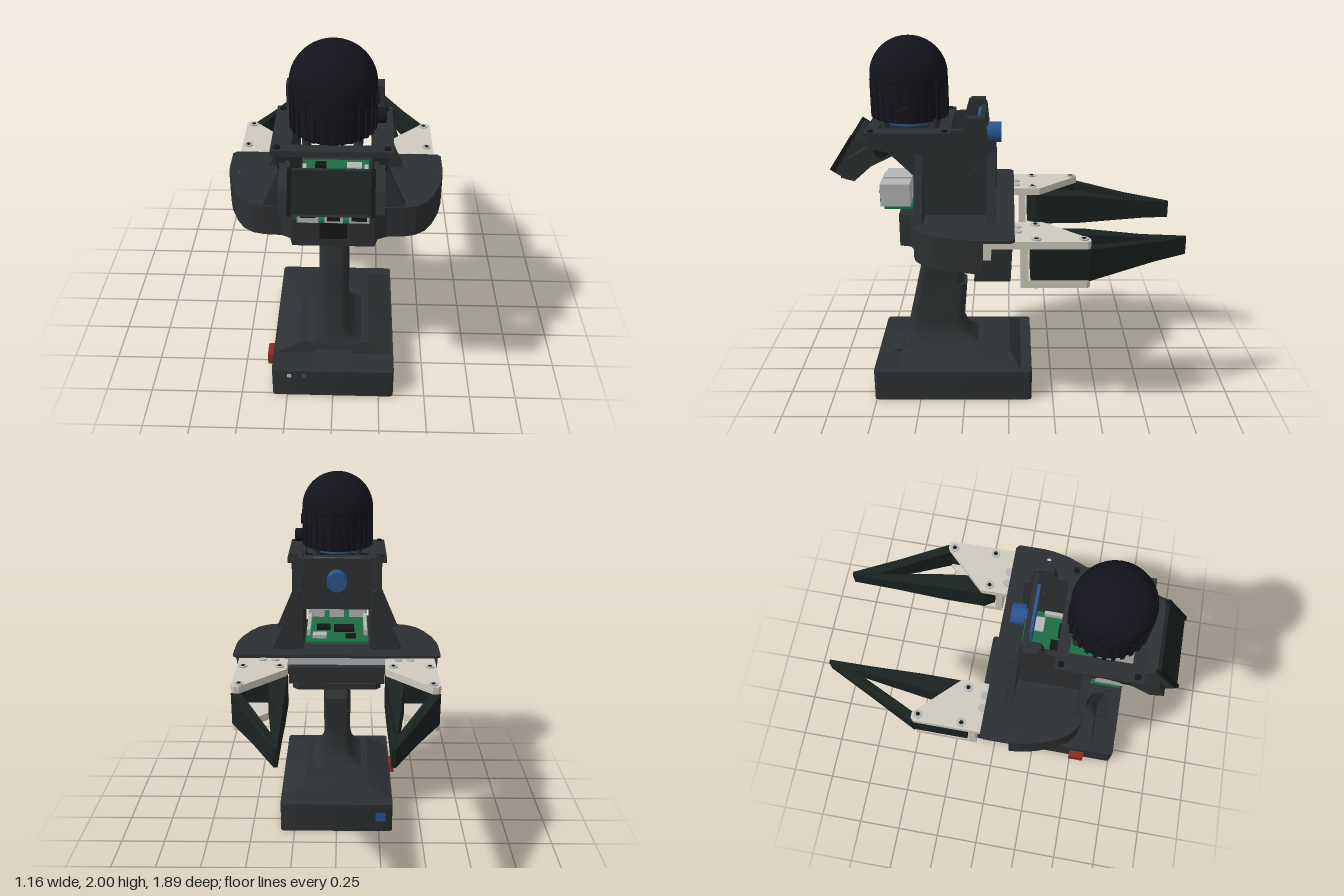
import * as THREE from 'three';
import { toCreasedNormals } from 'three/addons/utils/BufferGeometryUtils.js';

const mat = (color) => new THREE.MeshStandardMaterial({ color });

export function createModel() {
  const root = new THREE.Group();
  const body = mat(0x2d3032), domeMat = mat(0x14141c), rubber = mat(0x1a2220), ivory = mat(0xd0cbc0);
  const blue = mat(0x2a5590), green = mat(0x1f6b45), metal = mat(0xb4b6b8), red = mat(0x8a2a22), black = mat(0x151717);

  const add = (name, geo, m) => {
    const mesh = new THREE.Mesh(geo, m);
    mesh.name = name;
    root.add(mesh);
    return mesh;
  };
  // box given by its limits
  const box = (name, m, x0, x1, y0, y1, z0, z1) => {
    const mesh = add(name, new THREE.BoxGeometry(Math.abs(x1 - x0), y1 - y0, z1 - z0), m);
    mesh.position.set((x0 + x1) / 2, (y0 + y1) / 2, (z0 + z1) / 2);
    return mesh;
  };
  const makeShape = (pts, holes = []) => {
    const s = new THREE.Shape(pts.map(([a, b]) => new THREE.Vector2(a, b)));
    for (const [a, b, r] of holes) s.holes.push(new THREE.Path().absarc(a, b, r, 0, Math.PI * 2, true));
    return s;
  };
  const extrude = (shape, depth) => new THREE.ExtrudeGeometry(shape, { depth, bevelEnabled: false, curveSegments: 8 });
  // outline in [x, z], raised from y0 to y1
  const plan = (pts, y0, y1, holes = []) =>
    extrude(makeShape(pts.map(([x, z]) => [x, -z]), holes.map(([x, z, r]) => [x, -z, r])), y1 - y0)
      .rotateX(-Math.PI / 2).translate(0, y0, 0);
  // outline in [z, y], widened from x0 to x1
  const side = (pts, x0, x1, holes = []) =>
    extrude(makeShape(pts.map(([z, y]) => [-z, y]), holes.map(([z, y, r]) => [-z, y, r])), Math.abs(x1 - x0))
      .rotateY(Math.PI / 2).translate(Math.min(x0, x1), 0, 0);
  // rounded rectangles [y, zFront, zBack, halfWidth, radius] joined into a solid
  const loft = (rows, crease = 0.6) => {
    const seg = 6, n = 4 * (seg + 1), pos = [], idx = [];
    for (const [y, zf, zb, hx, r] of rows) {
      const hz = (zf - zb) / 2, zc = (zf + zb) / 2;
      for (let q = 0; q < 4; q++) for (let i = 0; i <= seg; i++) {
        const a = (q + i / seg) * Math.PI / 2;
        const sx = q === 0 || q === 3 ? 1 : -1, sz = q < 2 ? 1 : -1;
        pos.push(sx * (hx - r) + r * Math.cos(a), y, zc + sz * (hz - r) + r * Math.sin(a));
      }
    }
    for (let k = 0; k < rows.length - 1; k++) for (let i = 0; i < n; i++) {
      const a = k * n + i, b = k * n + (i + 1) % n;
      idx.push(a, a + n, b, b, a + n, b + n);
    }
    const top = (rows.length - 1) * n;
    for (let i = 1; i < n - 1; i++) idx.push(0, i, i + 1, top, top + i + 1, top + i);
    const g = new THREE.BufferGeometry();
    g.setAttribute('position', new THREE.Float32BufferAttribute(pos, 3));
    g.setIndex(idx);
    return toCreasedNormals(g, crease);
  };
  const cyl = (name, m, r, h, x, y, z, axis = 'y', sides = 20) => {
    const mesh = add(name, new THREE.CylinderGeometry(r, r, h, sides), m);
    mesh.position.set(x, y, z);
    if (axis === 'x') mesh.rotation.z = Math.PI / 2;
    if (axis === 'z') mesh.rotation.x = Math.PI / 2;
    return mesh;
  };

  // Base and handle
  add('base', loft([[0, 0.76, -0.13, 0.33, 0.02], [0.18, 0.76, -0.13, 0.33, 0.02]]), body);
  add('baseCover', loft([[0.18, 0.62, -0.07, 0.32, 0.01], [0.25, 0.61, 0, 0.19, 0.01]], 0.4), body);
  add('baseLatch', side([[0.69, 0.18], [0.62, 0.2], [0.6, 0.2], [0.6, 0.18]], -0.1, 0.1), body);
  add('handle', loft([
    [0.24, 0.615, 0.17, 0.17, 0.06], [0.265, 0.605, 0.2, 0.12, 0.055], [0.3, 0.595, 0.235, 0.092, 0.05],
    [0.36, 0.58, 0.26, 0.08, 0.045], [0.6, 0.525, 0.24, 0.08, 0.045], [0.604, 0.525, 0.26, 0.08, 0.045],
    [0.8, 0.48, 0.25, 0.08, 0.045], [0.845, 0.47, 0.24, 0.1, 0.05], [0.87, 0.465, 0.23, 0.13, 0.05], [0.89, 0.46, 0.21, 0.17, 0.05],
  ]), body);
  add('trigger', side([[0.2, 0.87], [0.03, 0.87], [-0.02, 0.81], [-0.01, 0.61], [0.2, 0.61], [0.19, 0.72]], -0.06, 0.06), body);
  box('powerSwitch', red, -0.37, -0.32, 0.05, 0.12, 0.49, 0.58);
  box('chargePort', blue, -0.29, -0.23, 0.07, 0.12, -0.135, -0.12);
  for (const x of [-0.235, -0.155]) cyl('baseLight', x < -0.2 ? metal : blue, 0.012, 0.01, x, 0.145, 0.76, 'z');

  // Deck with rounded wings
  const wing = [[0.58, 0.13], [0.575, 0.19], [0.555, 0.28], [0.515, 0.38], [0.475, 0.445], [0.42, 0.485], [0.36, 0.5],
    [0.27, 0.505], [0.225, 0.53], [0.21, 0.59]];
  const mirrored = (pts) => [...pts, ...pts.map(([x, z]) => [-x, z]).reverse()];
  const holes = [[0.52, 0.17, 0.013], [-0.52, 0.17, 0.013]];
  add('deck', plan(mirrored(wing), 0.9, 1.065, holes), body);
  add('deckTop', plan(mirrored([[0.56, -0.03], [0.58, -0.01], ...wing]), 1.065, 1.08, holes), body);
  box('deckCore', body, -0.27, 0.27, 0.9, 1.0, -0.01, 0.14);
  add('underPlate', plan(mirrored([[0.22, -0.02], [0.25, 0.01], [0.25, 0.42], [0.2, 0.47]]), 0.87, 0.905), body);
  box('slideRail', metal, -0.5, 0.5, 1.005, 1.045, 0.02, 0.06);
  box('frontSensor', black, -0.07, 0.07, 0.95, 1.065, 0.57, 0.597);
  box('frontTab', body, -0.2, -0.13, 1.065, 1.09, 0.5, 0.63);

  // Grippers, one per side
  for (const s of [1, -1]) {
    const mx = (pts) => pts.map(([x, z]) => [s * x, z]);
    const plate = mx([[0.27, -0.03], [0.27, -0.18], [0.5, -0.415], [0.53, -0.415], [0.545, -0.4], [0.545, -0.03]]);
    const lower = mx([[0.27, -0.06], [0.27, -0.18], [0.5, -0.415], [0.53, -0.415], [0.545, -0.4], [0.545, -0.06]]);
    add('gripperTopPlate', plan(plate, 1.02, 1.06), ivory);
    add('gripperBottomPlate', plan(lower, 0.805, 0.845), ivory);
    box('gripperWall', ivory, s * 0.27, s * 0.545, 0.84, 1.03, -0.1, -0.06);
    add('gripperArm', side([[-0.04, 1.06], [0.13, 1.06], [0.13, 0.96], [0.09, 0.96], [0.09, 1.02], [-0.04, 1.02]], s * 0.29, s * 0.545), ivory);
    for (const [x, z] of [[0.505, -0.38], [0.31, -0.14], [0.51, -0.14]]) for (const y of [1.06, 0.805]) {
      cyl('gripperBolt', metal, 0.025, 0.012, s * x, y, z);
      cyl('boltSocket', black, 0.012, 0.016, s * x, y, z, 'y', 6);
    }
    for (const x of [0.34, 0.41]) cyl('armBolt', metal, 0.022, 0.012, s * x, 1.06, -0.045);

    // Forked finger, thinner in height towards the tip
    const finger = plan(mx([[0.265, -0.945], [0.265, -0.7], [0.265, -0.41], [0.265, -0.16], [0.365, -0.28], [0.348, -0.41],
      [0.313, -0.7], [0.3, -0.8], [0.349, -0.7], [0.49, -0.41], [0.545, -0.41], [0.404, -0.7], [0.285, -0.945]]), -0.088, 0.088);
    const p = finger.attributes.position;
    for (let i = 0; i < p.count; i++) {
      const z = -p.getZ(i), k = z < 0.42 ? 1 : z < 0.75 ? 0.66 : 0.55;
      p.setY(i, 0.932 + p.getY(i) * k);
    }
    finger.computeVertexNormals();
    add('finger', finger, rubber);
    add('fingerRoot', plan(mx([[0.27, -0.16], [0.3, -0.11], [0.54, -0.11], [0.54, -0.41], [0.5, -0.41], [0.5, -0.15],
      [0.33, -0.15], [0.365, -0.28]]), 0.846, 1.019), rubber);
  }

  // Tower walls and gussets
  for (const s of [1, -1]) {
    add('towerWall', side([[0.07, 1.08], [0.12, 1.6], [0.14, 1.62], [0.22, 1.62], [0.24, 1.55], [0.74, 1.53], [0.7, 1.46],
      [0.62, 1.42], [0.5, 1.3], [0.5, 1.08]], s * 0.19, s * 0.22, [[0.18, 1.35, 0.012], [0.18, 1.59, 0.012]]), body);
    for (const z of [0.07, 0.45]) {
      const g = extrude(makeShape([[s * 0.2, 1.08], [s * 0.365, 1.08], [s * 0.22, 1.42], [s * 0.2, 1.42]]), 0.045);
      add('gusset', g.translate(0, 0, z), body);
    }
    add('towerEar', side([[0.115, 1.4], [0.13, 1.62], [0.21, 1.62], [0.21, 1.4]], s * 0.21, s * 0.25), body);
    // Head frame rails, standoffs and display arms
    box('headRail', body, s * 0.19, s * 0.285, 1.53, 1.55, 0.3, 0.74);
    add('headBrace', side([[0.3, 1.53], [0.74, 1.53], [0.72, 1.46], [0.62, 1.44]], s * 0.215, s * 0.26), body);
    for (const z of [0.33, 0.71]) {
      cyl('frameBolt', black, 0.016, 0.012, s * 0.255, 1.552, z);
      cyl('standoff', body, 0.022, 0.06, s * 0.12, 1.56, z + (z < 0.5 ? 0.06 : -0.06));
    }
    add('displayArm', side([[0.6, 1.42], [0.62, 1.5], [0.7, 1.5], [0.74, 1.46], [0.84, 1.4], [0.88, 1.3], [0.81, 1.28],
      [0.72, 1.36]], s * 0.195, s * 0.245), body);
    cyl('armPivot', black, 0.04, 0.02, s * 0.245, 1.45, 0.66, 'x');
  }
  box('headFrameFront', body, -0.285, 0.285, 1.52, 1.55, 0.68, 0.74);
  box('headFrameBack', body, -0.285, 0.285, 1.52, 1.55, 0.3, 0.36);
  box('backPanel', body, -0.2, 0.2, 1.3, 1.59, 0.125, 0.15);
  box('controlBoard', blue, -0.13, 0.13, 1.38, 1.59, 0.15, 0.165);
  cyl('controlKnob', blue, 0.055, 0.07, 0, 1.48, 0.075, 'z', 24);
  cyl('knobStem', blue, 0.035, 0.05, 0, 1.48, 0.12, 'z');

  // Tilted display
  const display = new THREE.Group();
  display.name = 'display';
  display.position.set(0, 1.395, 0.842);
  display.rotation.x = -0.58;
  root.add(display);
  display.add(box('displayCase', body, -0.2, 0.2, -0.11, 0.11, -0.045, 0.03));
  display.add(box('displayScreen', rubber, -0.18, 0.18, -0.1, 0.1, 0.03, 0.045));
  for (const s of [1, -1]) display.add(box('displayEdge', black, s * 0.18, s * 0.2, -0.11, 0.11, 0.02, 0.05));

  // Circuit board with ports
  box('circuitBoard', green, -0.18, 0.18, 1.1, 1.115, 0.1, 0.67);
  for (const [x0, x1] of [[-0.17, -0.07], [-0.04, 0.05], [0.08, 0.18]]) {
    const low = x0 < -0.1 ? 0.02 : 0;
    box('port', metal, x0, x1, 1.115, 1.24 - low, 0.53, 0.69);
    for (const y of low ? [1.165] : [1.148, 1.205]) box('portOpening', black, x0 + 0.013, x1 - 0.013, y - 0.02, y + 0.02, 0.685, 0.693);
  }
  for (const [x, z, w, c] of [[-0.04, 0.3, 0.06, black], [0.08, 0.32, 0.04, black], [0.1, 0.18, 0.04, metal], [-0.08, 0.17, 0.03, black]])
    box('chip', c, x - w, x + w, 1.115, 1.135, z - w * 0.7, z + w * 0.7);
  for (const s of [1, -1]) box('pinHeader', metal, s * 0.155, s * 0.175, 1.115, 1.15, 0.2, 0.5);

  // Ribbed dome sensor
  const dome = [[0, 1.575], [0.195, 1.575], [0.2, 1.59], [0.2, 1.78], [0.206, 1.785], [0.206, 1.8]];
  for (let i = 1; i <= 14; i++) {
    const a = i / 14 * Math.PI / 2;
    dome.push([Math.max(0, 0.206 * Math.cos(a)), 1.8 + 0.2 * Math.sin(a)]);
  }
  const domeGeo = toCreasedNormals(new THREE.LatheGeometry(dome.map(([r, y]) => new THREE.Vector2(r, y)), 48), 0.5);
  add('dome', domeGeo, domeMat).position.z = 0.53;
  for (let i = 0; i < 28; i++) {
    const a = i / 28 * Math.PI * 2, h = i % 2 ? 0.2 : 0.14;
    const rib = box('domeRib', domeMat, -0.01, 0.01, 1.58, 1.58 + h, -0.007, 0.007);
    rib.position.x = 0.201 * Math.sin(a);
    rib.position.z = 0.53 + 0.201 * Math.cos(a);
    rib.rotation.y = a;
  }
  cyl('domeConnector', domeMat, 0.038, 0.07, 0.215, 1.63, 0.53, 'x');
  cyl('domeButton', domeMat, 0.03, 0.02, 0.205, 1.725, 0.53, 'x');
  cyl('domeMount', blue, 0.13, 0.03, 0, 1.56, 0.53, 'y', 32);

  return root;
}
